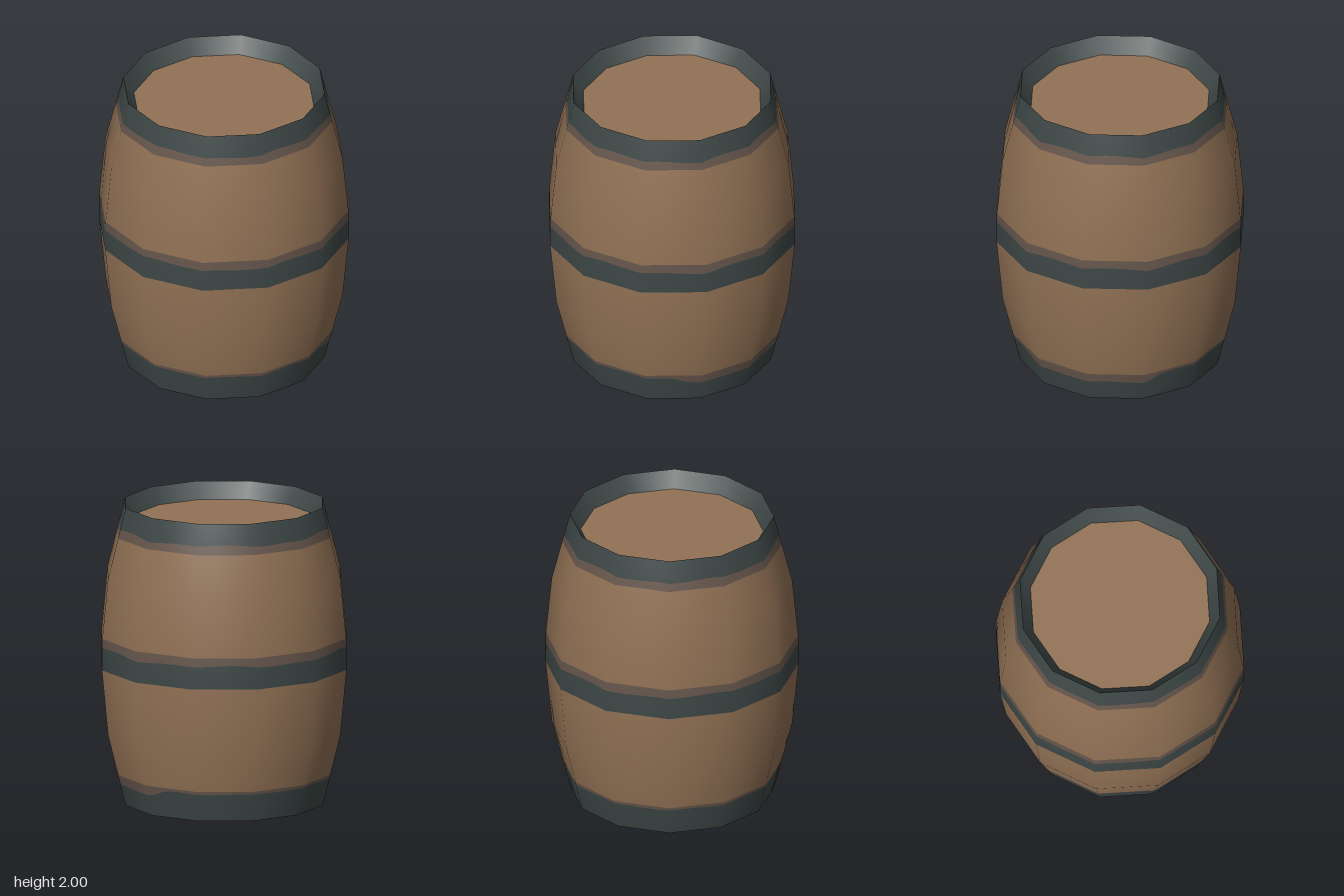
import * as THREE from 'three';

const SIDES = 12, STEPS = 6, START = THREE.MathUtils.degToRad(-12.5);
// Stave profile: [height, radius]
const PROFILE = [[0, 0.67], [0.48, 0.79], [0.92, 0.832], [1.1, 0.832], [1.53, 0.79], [2, 0.67]];
const RIM_DEPTH = 0.11, LID_RADIUS = 0.6;

function radiusAt(y) {
  let i = 0;
  while (i < PROFILE.length - 2 && y > PROFILE[i + 1][0]) i++;
  const [y0, r0] = PROFILE[i], [y1, r1] = PROFILE[i + 1];
  return r0 + (r1 - r0) * (y - y0) / (y1 - y0);
}

// One ring of the twelve-sided shell between two heights, given as functions of the angle
function ring(lower, upper) {
  const pos = [], nor = [], idx = [], n = SIDES * STEPS;
  for (let j = 0; j <= n; j++) {
    const side = Math.floor(j / STEPS), f = (j % STEPS) / STEPS, step = Math.PI * 2 / SIDES;
    const a0 = START + side * step, a1 = a0 + step, a = a0 + f * step;
    const cx = Math.cos(a0) * (1 - f) + Math.cos(a1) * f;
    const cz = Math.sin(a0) * (1 - f) + Math.sin(a1) * f;
    for (const y of [lower(a), upper(a)]) {
      const r = radiusAt(y);
      pos.push(cx * r, y, cz * r);
      const normal = new THREE.Vector3(Math.cos(a), -0.25 * (1 - y), Math.sin(a)).normalize();
      nor.push(normal.x, normal.y, normal.z);
    }
    const k = j * 2;
    if (j < n) idx.push(k, k + 1, k + 3, k, k + 3, k + 2);
  }
  const g = new THREE.BufferGeometry();
  g.setAttribute('position', new THREE.Float32BufferAttribute(pos, 3));
  g.setAttribute('normal', new THREE.Float32BufferAttribute(nor, 3));
  g.setIndex(idx);
  return g;
}

export function createModel() {
  const group = new THREE.Group();
  group.name = 'barrel';
  const wood = new THREE.MeshStandardMaterial({ color: 0x927255 });
  const iron = new THREE.MeshStandardMaterial({ color: 0x3e4847, side: THREE.DoubleSide });
  const stain = new THREE.MeshStandardMaterial({ color: 0x67574d });
  wood.name = 'wood';
  iron.name = 'iron';
  stain.name = 'stainedWood';

  const add = (name, geometry, material) => {
    const mesh = new THREE.Mesh(geometry, material);
    mesh.name = name;
    group.add(mesh);
    return mesh;
  };

  // Edge heights: level, or slightly uneven where iron meets the stained wood
  const level = (y) => () => y;
  const uneven = (y) => (a) => y + 0.005 * Math.sin(a * 5) + 0.004 * Math.sin(a * 11 + 1);
  const bottomEdge = (a) => {
    const t = Math.cos(a - 0.35);
    return 0.187 - 0.045 * THREE.MathUtils.smoothstep(t, 0.7, 0.85) + 0.003 * Math.sin(a * 9);
  };
  const middleEdge = uneven(1.07), topEdge = uneven(1.855);

  // Shell from bottom to top
  const bands = [
    ['bottomHoop', iron, level(0), bottomEdge],
    ['bottomStain', stain, bottomEdge, level(0.208)],
    ['lowerStaves', wood, level(0.208), level(0.48)],
    ['lowerStaves', wood, level(0.48), level(0.92)],
    ['middleHoop', iron, level(0.92), middleEdge],
    ['middleStain', stain, middleEdge, level(1.1)],
    ['middleStain', stain, level(1.1), level(1.13)],
    ['upperStaves', wood, level(1.13), level(1.53)],
    ['upperStaves', wood, level(1.53), level(1.8)],
    ['topStain', stain, level(1.8), topEdge],
    ['topHoop', iron, topEdge, level(2)],
  ];
  for (const [name, material, lower, upper] of bands) add(name, ring(lower, upper), material);

  // Sloped inner rims and recessed lids at both ends
  const rimRadius = PROFILE[0][1];
  for (const top of [true, false]) {
    const rim = new THREE.CylinderGeometry(
      top ? rimRadius : LID_RADIUS, top ? LID_RADIUS : rimRadius, RIM_DEPTH, SIDES, 1, true, -START);
    add(top ? 'topInnerRim' : 'bottomInnerRim', rim, iron).position.y = top ? 2 - RIM_DEPTH / 2 : RIM_DEPTH / 2;
    const lid = new THREE.CircleGeometry(LID_RADIUS, SIDES, top ? -START : START);
    lid.rotateX(top ? -Math.PI / 2 : Math.PI / 2);
    add(top ? 'topLid' : 'bottomLid', lid, wood).position.y = top ? 2 - RIM_DEPTH : RIM_DEPTH;
  }
  return group;
}
